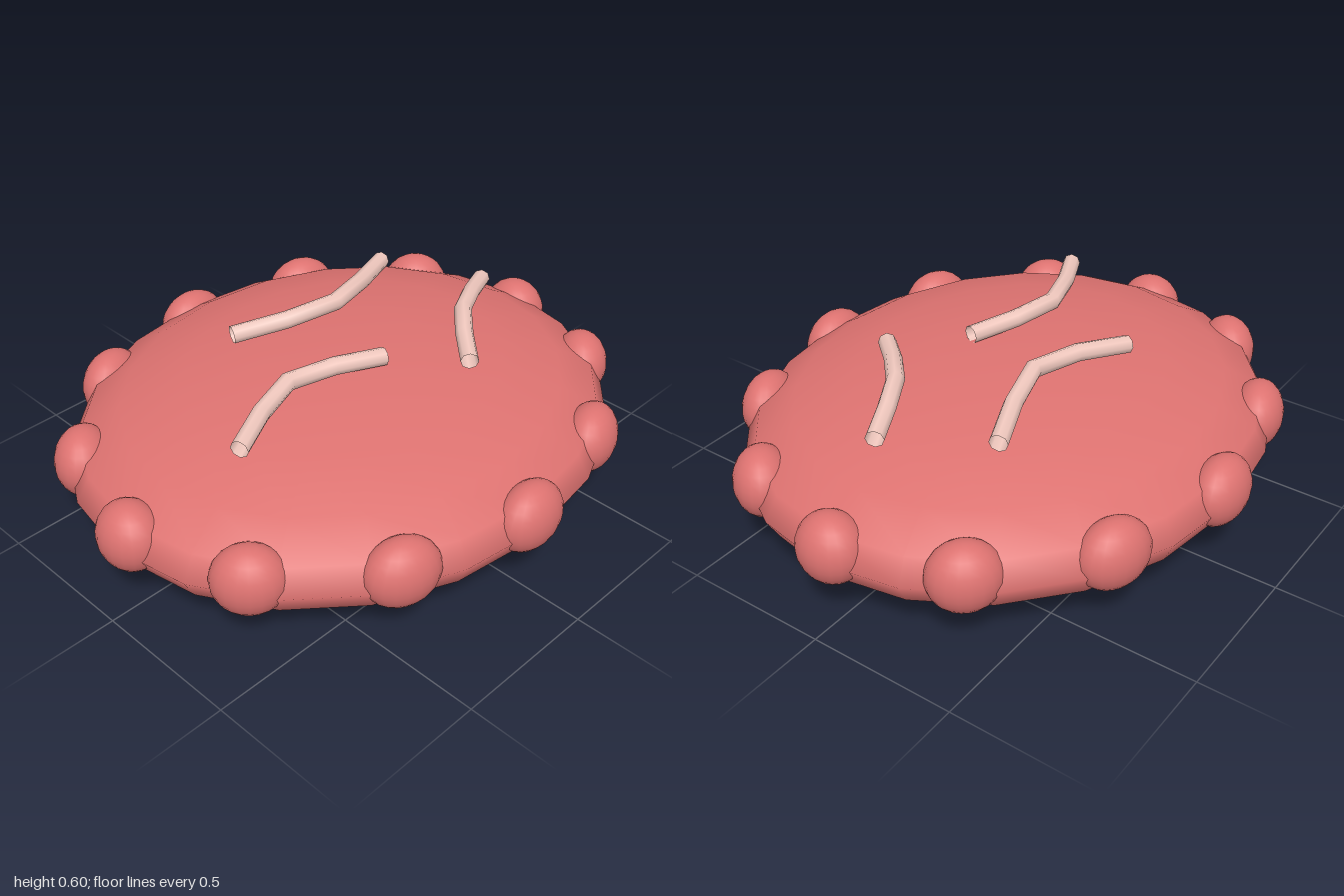
import * as THREE from 'three';

const bodyMaterial = new THREE.MeshStandardMaterial({ color: 0xdd7270 });
const strandMaterial = new THREE.MeshStandardMaterial({ color: 0xf0c8be, side: THREE.DoubleSide });

export function createModel() {
  const model = new THREE.Group();

  // Flattened round body and its rim, both stretched sideways
  const patty = new THREE.Group();
  patty.name = 'patty';
  patty.scale.x = 1.15;
  model.add(patty);

  const body = new THREE.Mesh(new THREE.SphereGeometry(0.83, 20, 10), bodyMaterial);
  body.name = 'body';
  body.scale.y = 0.26 / 0.83;
  body.position.y = 0.26;
  patty.add(body);

  // Ring of twelve lumps around the rim, narrow in the radial direction
  const lumpGeometry = new THREE.SphereGeometry(1, 20, 14);
  for (let i = 0; i < 12; i++) {
    const angle = (i / 12) * Math.PI * 2;
    const lump = new THREE.Mesh(lumpGeometry, bodyMaterial);
    lump.name = 'rimLump' + (i + 1);
    lump.position.set(Math.sin(angle) * 0.782, 0.285, Math.cos(angle) * 0.782);
    lump.rotation.y = angle;
    lump.scale.set(0.112, 0.115, 0.086);
    patty.add(lump);
  }

  // Curved open strands resting on top: start, middle, end
  const strands = {
    leftStrand: [[0.22, 0.53, 0.345], [0.41, 0.555, 0.15], [0.665, 0.52, 0.02]],
    rightStrand: [[-0.605, 0.532, 0.17], [-0.28, 0.553, 0.04], [0.04, 0.54, 0.14]],
    backStrand: [[-0.215, 0.535, -0.305], [0.11, 0.567, -0.175], [0.49, 0.535, -0.3]],
  };
  for (const [name, points] of Object.entries(strands)) {
    const curve = new THREE.CatmullRomCurve3(points.map((p) => new THREE.Vector3(...p)));
    const strand = new THREE.Mesh(new THREE.TubeGeometry(curve, 4, 0.03, 8), strandMaterial);
    strand.name = name;
    model.add(strand);
  }

  return model;
}
